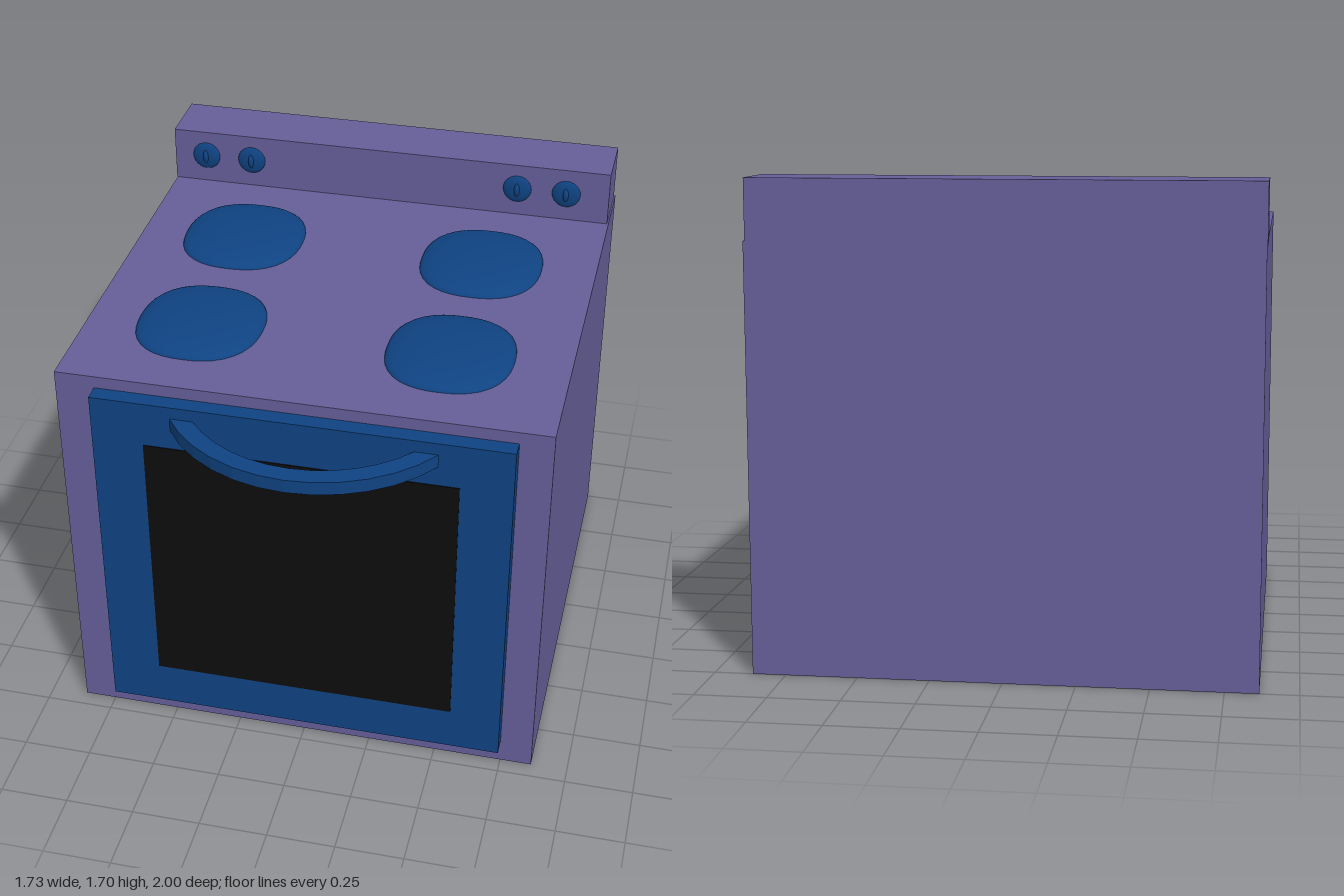
import * as THREE from 'three';

const purple = new THREE.MeshStandardMaterial({ color: 0x655f98 });
const blue = new THREE.MeshStandardMaterial({ color: 0x0f4382 });
const black = new THREE.MeshStandardMaterial({ color: 0x0d0d0d });

// Box given by its minimum and maximum corners
function box(name, material, [x0, y0, z0], [x1, y1, z1]) {
  const mesh = new THREE.Mesh(new THREE.BoxGeometry(x1 - x0, y1 - y0, z1 - z0), material);
  mesh.position.set((x0 + x1) / 2, (y0 + y1) / 2, (z0 + z1) / 2);
  mesh.name = name;
  return mesh;
}

// Shallow dome with a rounded-square outline
function burnerGeometry(halfX, halfZ, height) {
  const geo = new THREE.SphereGeometry(1, 40, 12, 0, Math.PI * 2, 0, Math.PI / 2);
  const pos = geo.attributes.position;
  for (let i = 0; i < pos.count; i++) {
    const x = pos.getX(i), z = pos.getZ(i);
    const r = Math.hypot(x, z);
    const n = 2.4;
    const k = r > 1e-6 ? r / Math.pow(Math.abs(x) ** n + Math.abs(z) ** n, 1 / n) : 1;
    pos.setXYZ(i, x * k * halfX, pos.getY(i) * height, z * k * halfZ);
  }
  geo.computeVertexNormals();
  return geo;
}

// Round dial with a raised grip, facing +z
function knob() {
  const group = new THREE.Group();
  group.name = 'knob';
  const domeGeo = new THREE.SphereGeometry(1, 24, 8, 0, Math.PI * 2, 0, Math.PI / 2);
  domeGeo.rotateX(Math.PI / 2);
  domeGeo.scale(0.055, 0.055, 0.016);
  const dial = new THREE.Mesh(domeGeo, blue);
  dial.name = 'knobDial';
  const gripGeo = new THREE.SphereGeometry(1, 16, 10);
  gripGeo.scale(0.014, 0.034, 0.025);
  const grip = new THREE.Mesh(gripGeo, blue);
  grip.name = 'knobGrip';
  group.add(dial, grip);
  return group;
}

// Bowed flat bar lying in the horizontal plane
function handle() {
  const cz = 0.443, outer = 0.557, inner = 0.49, doorZ = 0.745;
  const a = Math.asin((doorZ - cz) / outer);
  const b = Math.asin((doorZ - cz) / inner);
  const shape = new THREE.Shape();
  shape.absarc(0, 0, outer, a, Math.PI - a, false);
  shape.absarc(0, 0, inner, Math.PI - b, b, true);
  const geo = new THREE.ExtrudeGeometry(shape, { depth: 0.05, bevelEnabled: false, curveSegments: 6 });
  geo.rotateX(Math.PI / 2);
  const mesh = new THREE.Mesh(geo, blue);
  mesh.position.set(0.025, 1.4, cz);
  mesh.name = 'doorHandle';
  return mesh;
}

export function createModel() {
  const model = new THREE.Group();
  model.name = 'stove';

  // Cabinet, rear control panel and door
  model.add(
    box('cabinet', purple, [-0.866, 0, -1], [0.866, 1.49, 0.69]),
    box('controlPanel', purple, [-0.868, 1.49, -1], [0.86, 1.7, -0.765]),
    box('ovenDoor', blue, [-0.725, 0.09, 0.69], [0.748, 1.445, 0.75]),
    box('ovenWindow', black, [-0.54, 0.26, 0.74], [0.565, 1.275, 0.753]),
    handle()
  );

  // Four burners
  const burnerGeo = burnerGeometry(0.226, 0.245, 0.042);
  for (const [x, z] of [[-0.474, -0.355], [0.44, -0.355], [-0.46, 0.275], [0.44, 0.275]]) {
    const burner = new THREE.Mesh(burnerGeo, blue);
    burner.position.set(x, 1.49, z);
    burner.name = 'burner';
    model.add(burner);
  }

  // Four control knobs
  for (const x of [-0.74, -0.555, 0.505, 0.695]) {
    const k = knob();
    k.position.set(x, 1.6, -0.765);
    model.add(k);
  }

  return model;
}
